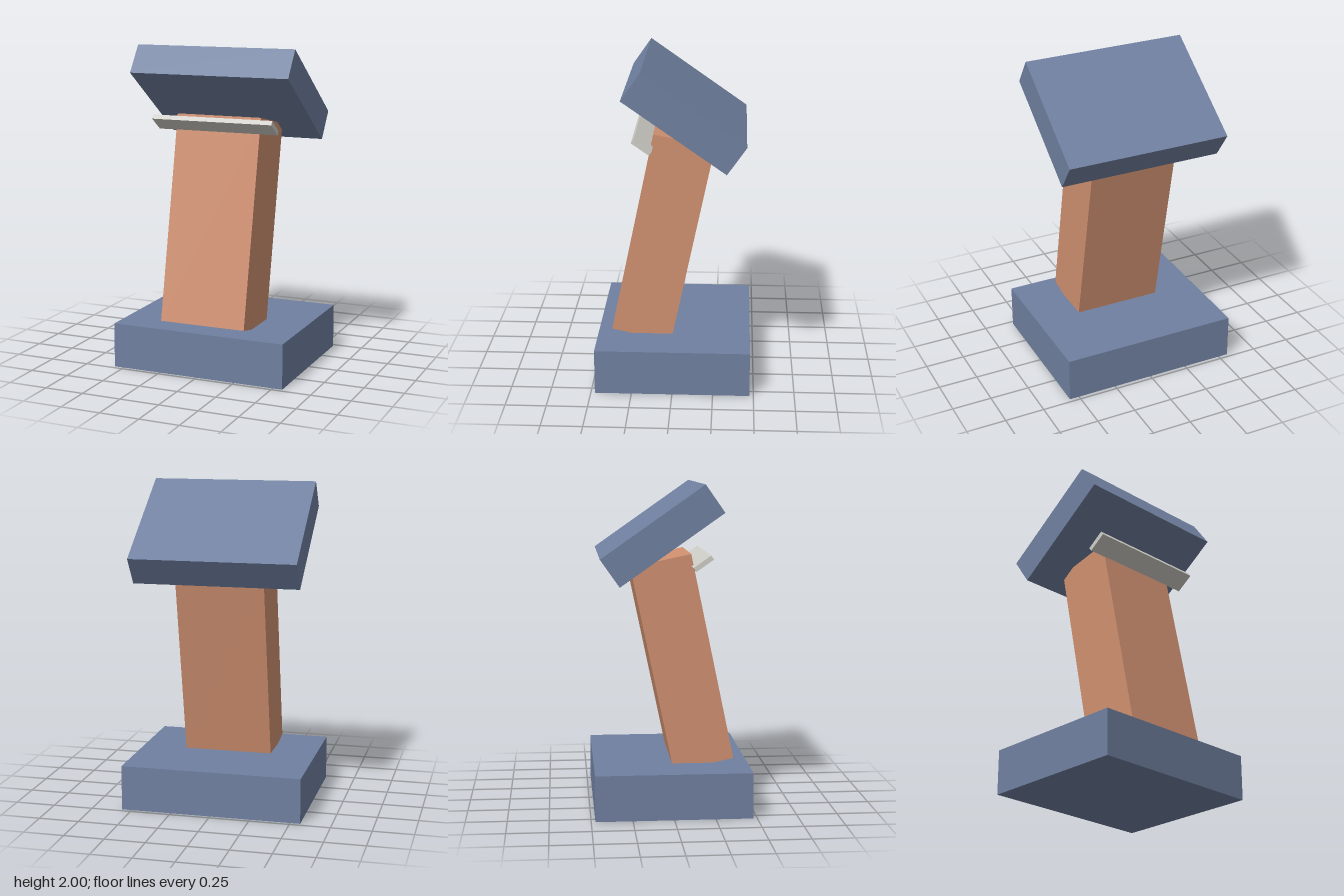
import * as THREE from 'three';

export function createModel() {
  const group = new THREE.Group();
  group.name = 'lectern';

  const mat = (name, color) => {
    const m = new THREE.MeshStandardMaterial({ color });
    m.name = name;
    return m;
  };
  const blue = mat('slate blue', 0x7080a0);
  const clay = mat('clay', 0xd09070);
  const pale = mat('pale grey', 0xd0cec8);

  // A box centred at (0, y, z), tilted about the x axis
  const block = (name, size, y, z, tilt, material) => {
    const mesh = new THREE.Mesh(new THREE.BoxGeometry(...size), material);
    mesh.name = name;
    mesh.position.set(0, y, z);
    mesh.rotation.x = tilt;
    group.add(mesh);
  };

  const deskTilt = THREE.MathUtils.degToRad(-35);
  const postTilt = THREE.MathUtils.degToRad(-11.8);

  block('base', [1.124, 0.28, 0.95], 0.14, 0, 0, blue);
  // Leaning post, its lower back edge sunk into the base
  block('post', [0.556, 1.295, 0.378], 0.902, 0.072, postTilt, clay);
  // Sloping desk top
  block('deskTop', [1.034, 0.202, 0.757], 1.699, -0.068, deskTilt, blue);
  // Thin ledge, parallel to the desk top
  block('ledge', [0.788, 0.03, 0.13], 1.525, 0.188, deskTilt, pale);

  return group;
}
